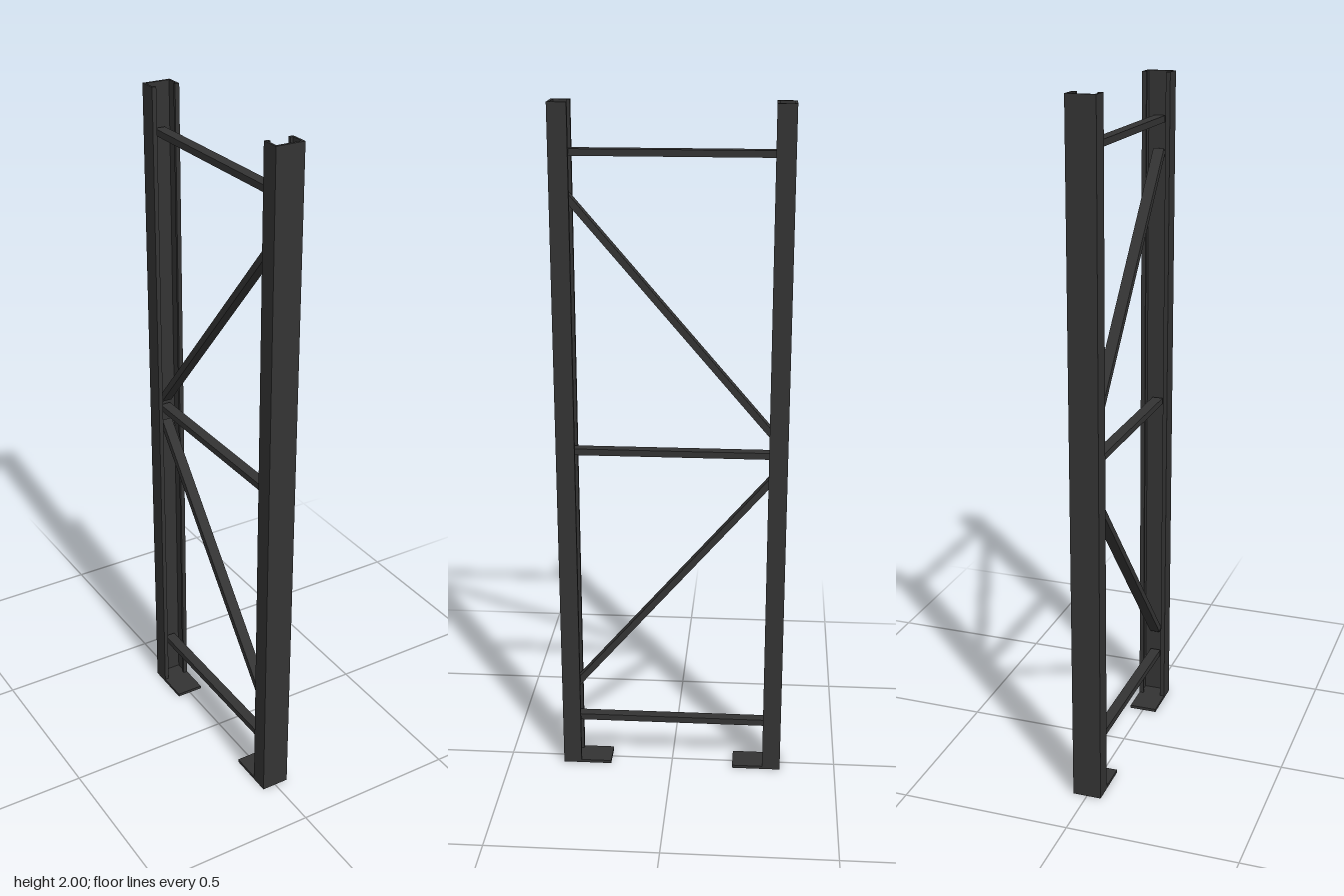
import * as THREE from 'three';

const material = new THREE.MeshStandardMaterial({ color: 0x333333 });

export function createModel() {
  const group = new THREE.Group();
  const add = (name, geometry, x, y, z, parent = group) => {
    const mesh = new THREE.Mesh(geometry, material);
    mesh.name = name;
    mesh.position.set(x, y, z);
    parent.add(mesh);
    return mesh;
  };

  // Lipped channel section: web on the outer side, lips turned inward
  const half = [
    [0.042, 0.333], [0.042, 0.279], [0.029, 0.279],
    [0.029, 0.288], [0.036, 0.288], [0.036, 0.325],
  ];
  const mirrored = half.map(([x, z]) => [-x, z]).reverse();
  // The shape's y becomes -z once the extrusion is stood upright
  const section = new THREE.Shape(
    [...half, ...mirrored].map(([x, z]) => new THREE.Vector2(x, -z)));
  const channel = new THREE.ExtrudeGeometry(section, { depth: 2, bevelEnabled: false });
  channel.rotateX(-Math.PI / 2);

  // Two uprights with foot plates reaching inward, webs facing outward
  for (const [name, turn] of [['front', 0], ['back', Math.PI]]) {
    const upright = new THREE.Group();
    upright.name = `${name}Upright`;
    upright.rotation.y = turn;
    add(`${name}Post`, channel, 0, 0, 0, upright);
    add(`${name}FootPlate`, new THREE.BoxGeometry(0.084, 0.009, 0.146), 0, 0.0045, 0.26, upright);
    group.add(upright);
  }

  // Flat bars between two (y, z) points
  const brace = (name, y0, z0, y1, z1) => {
    const length = Math.hypot(y1 - y0, z1 - z0);
    const bar = add(name, new THREE.BoxGeometry(0.032, 0.019, length),
      0, (y0 + y1) / 2, (z0 + z1) / 2);
    bar.rotation.x = -Math.atan2(y1 - y0, z1 - z0);
  };

  // Horizontal struts
  [['lowerStrut', 0.145], ['middleStrut', 1.01], ['upperStrut', 1.865]]
    .forEach(([name, y]) => brace(name, y, -0.317, y, 0.317));

  // Diagonals meeting near the middle of the back upright
  brace('lowerDiagonal', 0.965, -0.315, 0.23, 0.315);
  brace('upperDiagonal', 1.04, -0.315, 1.775, 0.315);

  return group;
}
